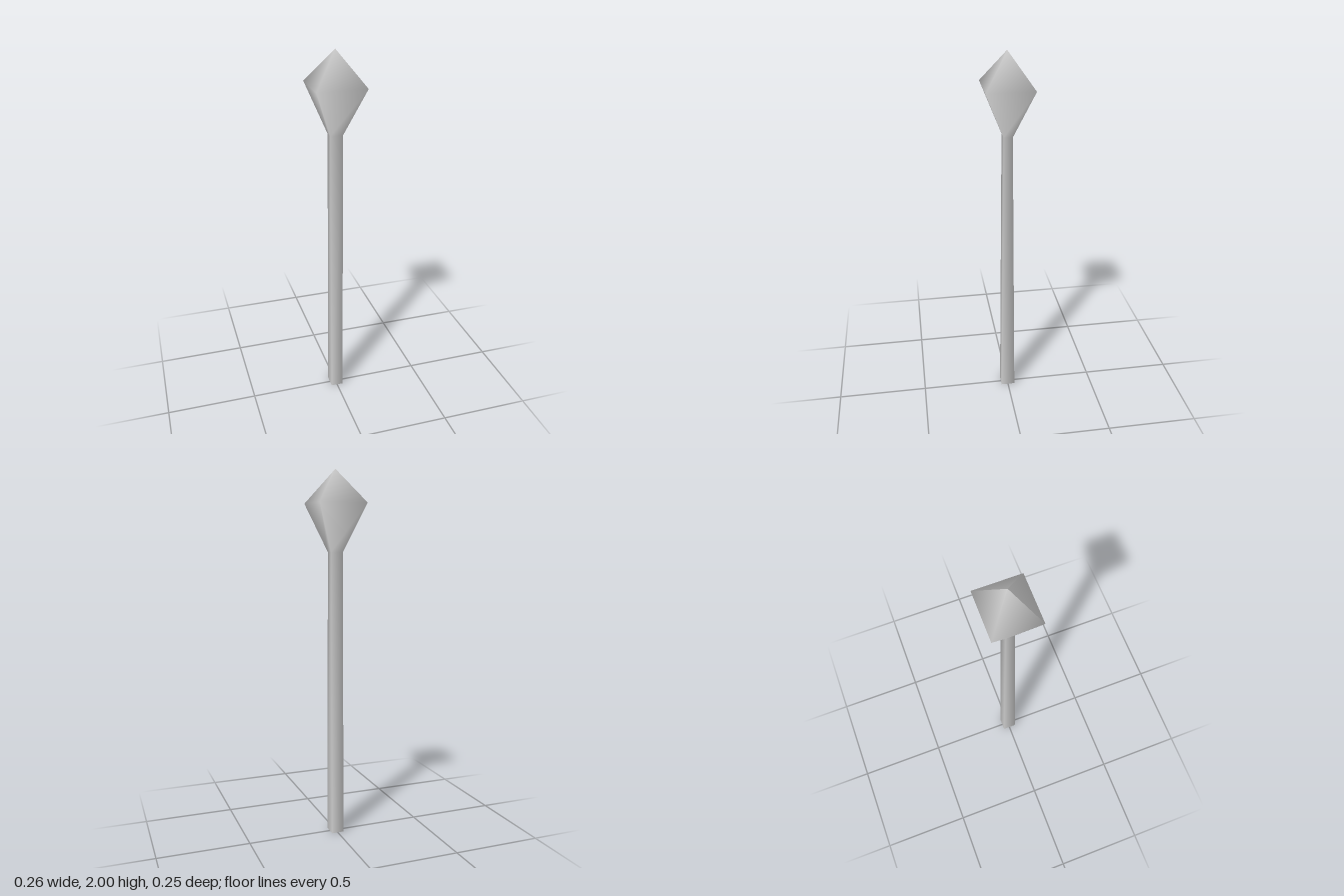
import * as THREE from 'three';

// Corners of a rectangular section, counterclockwise seen from above
const CORNERS = [[1, 1], [1, -1], [-1, -1], [-1, 1]];

// Sections from foot to widest point of the head: height, half width, half depth
const SECTIONS = [
  [0, 0.034, 0.039],
  [1.57, 0.034, 0.024],
  [1.825, 0.131, 0.124],
];
const TIP_HEIGHT = 2;

const ring = ([y, hx, hz]) => CORNERS.flatMap(([sx, sz]) => [sx * hx, y, sz * hz]);

export function createModel() {
  const group = new THREE.Group();
  group.name = 'spear';

  const positions = SECTIONS.flatMap(ring);
  const index = [];

  // Sides of the tapering shaft and flaring head, sharing corners for soft shading
  for (let s = 0; s < SECTIONS.length - 1; s++) {
    for (let i = 0; i < 4; i++) {
      const a = s * 4 + i, b = s * 4 + (i + 1) % 4;
      index.push(a, b, b + 4, a, b + 4, a + 4);
    }
  }

  // Pyramid point: each face has its own tip vertex, so the ridges sharpen upward
  const top = (SECTIONS.length - 1) * 4;
  for (let i = 0; i < 4; i++) {
    index.push(top + i, top + (i + 1) % 4, positions.length / 3);
    positions.push(0, TIP_HEIGHT, 0);
  }

  // Flat foot with its own corners
  const f = positions.length / 3;
  positions.push(...ring(SECTIONS[0]));
  index.push(f, f + 3, f + 2, f, f + 2, f + 1);

  const geometry = new THREE.BufferGeometry();
  geometry.setAttribute('position', new THREE.Float32BufferAttribute(positions, 3));
  geometry.setIndex(index);
  geometry.computeVertexNormals();

  const mesh = new THREE.Mesh(geometry, new THREE.MeshStandardMaterial({ color: 0xcccccc }));
  mesh.name = 'shaftAndHead';
  group.add(mesh);
  return group;
}
